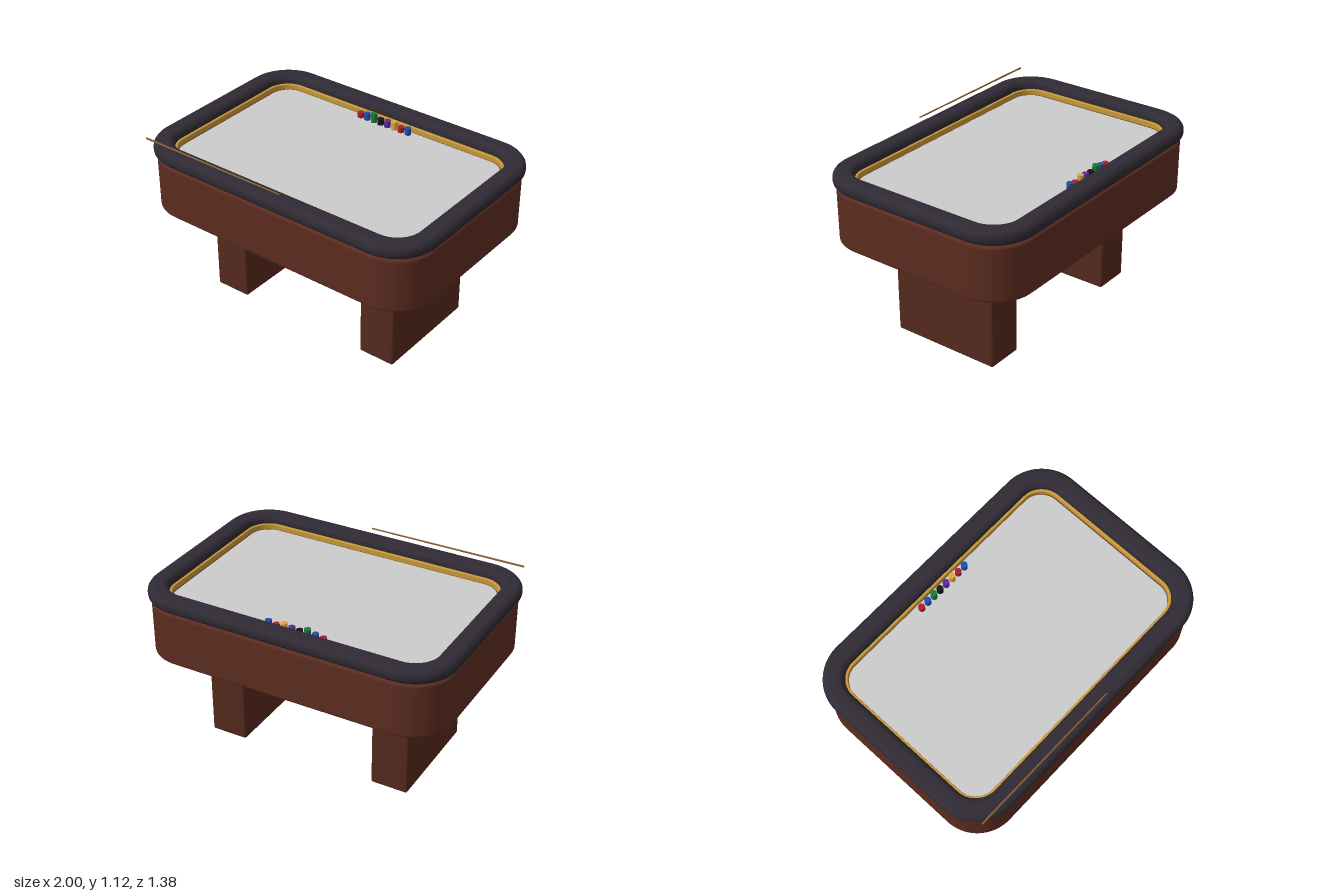
import * as THREE from 'three';
import { RoundedBoxGeometry } from 'three/addons/geometries/RoundedBoxGeometry.js';

const paint = (color) => new THREE.MeshStandardMaterial({ color });

// Rounded rectangle outline with half sizes w, d and corner radius r
function outline(w, d, r, Type = THREE.Shape) {
  const s = new Type();
  s.absarc(w - r, d - r, r, 0, Math.PI / 2);
  s.absarc(-w + r, d - r, r, Math.PI / 2, Math.PI);
  s.absarc(-w + r, -d + r, r, Math.PI, Math.PI * 1.5);
  s.absarc(w - r, -d + r, r, Math.PI * 1.5, Math.PI * 2);
  s.closePath();
  return s;
}

// Horizontal slab or ring from y0 to y1 with bevelled edges inside the outline
function slab(name, outer, inner, y0, y1, bevel, segments, material) {
  const shape = outline(...outer);
  if (inner) shape.holes.push(outline(...inner, THREE.Path));
  const geometry = new THREE.ExtrudeGeometry(shape, {
    depth: y1 - y0 - 2 * bevel,
    bevelEnabled: bevel > 0,
    bevelThickness: bevel,
    bevelSize: bevel,
    bevelOffset: -bevel,
    bevelSegments: segments,
    curveSegments: 12,
  });
  geometry.rotateX(-Math.PI / 2).translate(0, y0 + bevel, 0);
  const mesh = new THREE.Mesh(geometry, material);
  mesh.name = name;
  return mesh;
}

export function createModel() {
  const table = new THREE.Group();
  table.name = 'cardTable';
  const wood = paint(0x5c2c20);
  const darkWood = paint(0x54291d);

  // Two slab legs
  for (const side of [-1, 1]) {
    const leg = new THREE.Mesh(new RoundedBoxGeometry(0.242, 0.64, 0.72, 3, 0.015), darkWood);
    leg.position.set(side * 0.565, 0.32, 0);
    leg.name = side > 0 ? 'leftLeg' : 'rightLeg';
    table.add(leg);
  }

  // Body, playing surface, padded rail and gold trim
  table.add(
    slab('body', [0.98, 0.67, 0.255], null, 0.64, 0.984, 0.015, 3, wood),
    slab('playingSurface', [0.853, 0.545, 0.13], null, 0.98, 0.995, 0.003, 1, paint(0xcccccc)),
    slab('paddedRail', [1, 0.688, 0.275], [0.872, 0.56, 0.147], 0.99, 1.08, 0.04, 4, paint(0x2f2a33)),
    slab('goldTrim', [0.876, 0.564, 0.151], [0.856, 0.544, 0.131], 0.992, 1.03, 0.006, 2, paint(0xc8983a)),
  );

  // Row of chip stacks along the back: colour and height
  const chips = new THREE.Group();
  chips.name = 'chipStacks';
  const stacks = [
    [0xb01c2e, 0.035], [0x1f4fa8, 0.045], [0x1f7a3c, 0.06], [0x151515, 0.04],
    [0x5b2a9a, 0.045], [0xe0a83a, 0.055], [0xb01c2e, 0.035], [0x1f4fa8, 0.045],
  ];
  stacks.forEach(([color, height], i) => {
    const stack = new THREE.Mesh(new THREE.CylinderGeometry(0.02, 0.02, height, 20), paint(color));
    stack.position.set(-0.21 + i * 0.0515, 0.995 + height / 2, -0.51);
    stack.name = 'chipStack';
    chips.add(stack);
  });
  table.add(chips);

  // Slim stick above the front rail, thicker at the right end
  const stick = new THREE.Mesh(new THREE.CylinderGeometry(0.006, 0.0045, 1.025, 10), paint(0x8a5f30));
  stick.rotation.z = Math.PI / 2;
  stick.position.set(-0.413, 1.116, 0.652);
  stick.name = 'stick';
  table.add(stick);

  return table;
}
